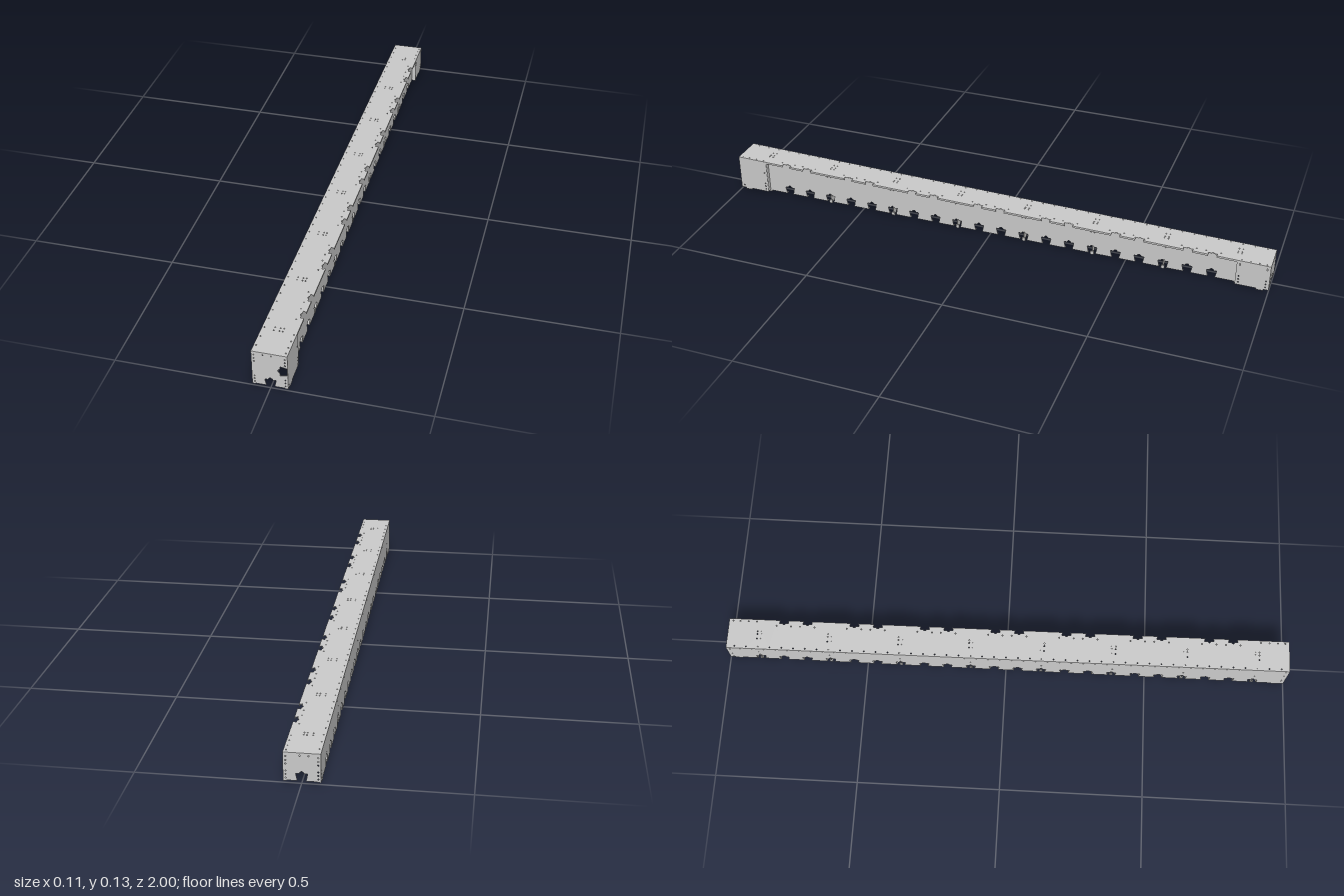
import * as THREE from 'three';

const T = 0.002;            // sheet thickness
const XL = -0.057;          // outer face of the plain wall
const XR = 0.055;           // outer face of the end boxes and roof edge
const XI = 0.04;            // outer face of the recessed wall
const Y0 = 0.008;           // lower edge of the walls
const BAY = 0.2532;         // bulkhead spacing
const PITCH = BAY / 3;      // notch spacing
const ZB = 3.5 * BAY;       // outermost bulkheads
const roofY = z => 0.1175 + 0.0175 * z;

const material = new THREE.MeshStandardMaterial({ color: 0xcccccc, side: THREE.DoubleSide, flatShading: true });

// Dovetail notch with a round relief, as points along an edge running in +u, cut towards +v
function notch(c, mouth, inner, depth, r) {
  const p = [[c - mouth, 0], [c - inner, depth], [c - r, depth]];
  for (let i = 1; i < 6; i++) {
    const a = Math.PI * (1 - i / 6);
    p.push([c + r * Math.cos(a), depth + r * Math.sin(a)]);
  }
  p.push([c + r, depth], [c + inner, depth], [c + mouth, 0]);
  return p;
}
const bigNotch = c => notch(c, 0.013, 0.018, 0.024, 0.007);
const smallNotch = c => notch(c, 0.014, 0.017, 0.011, 0.005);

// Flat plate with small round holes, placed by a basis
function plate(name, points, holes, xAxis, yAxis, origin, radius = 0.0022) {
  const shape = new THREE.Shape(points.map(p => new THREE.Vector2(p[0], p[1])));
  for (const [u, v] of holes) {
    const hole = new THREE.Path();
    hole.absarc(u, v, radius, 0, Math.PI * 2, true);
    shape.holes.push(hole);
  }
  const geometry = new THREE.ExtrudeGeometry(shape, { depth: T, bevelEnabled: false, curveSegments: 4 });
  const zAxis = xAxis.clone().cross(yAxis);
  geometry.applyMatrix4(new THREE.Matrix4().makeBasis(xAxis, yAxis, zAxis).setPosition(origin));
  const mesh = new THREE.Mesh(geometry, material);
  mesh.name = name;
  return mesh;
}

function box(name, x0, x1, y0, y1, z0, z1) {
  const mesh = new THREE.Mesh(new THREE.BoxGeometry(x1 - x0, y1 - y0, z1 - z0), material);
  mesh.position.set((x0 + x1) / 2, (y0 + y1) / 2, (z0 + z1) / 2);
  mesh.name = name;
  return mesh;
}

const V = (x, y, z) => new THREE.Vector3(x, y, z);
const UP = V(0, 1, 0), RIGHT = V(1, 0, 0), BACK = V(0, 0, -1);

// Solid stretches of an edge between notches
function gaps(from, to, centres, half) {
  const out = [];
  let start = from;
  for (const c of centres) {
    out.push([start, c - half]);
    start = c + half;
  }
  out.push([start, to]);
  return out;
}

export function createModel() {
  const model = new THREE.Group();
  model.name = 'boxBeam';

  const bulkheads = [], lower = [], upper = [];
  for (let i = 0; i < 8; i++) bulkheads.push((i - 3.5) * BAY);
  for (let i = -12; i < 12; i++) {
    const c = (i + 0.5) * PITCH;
    if (Math.abs(c) < 0.96) lower.push(c);
    const bayPos = (((i + 12) % 3) + 3) % 3;
    if (Math.abs(c) < 0.83 && !bulkheads.some(b => Math.abs(b - c) < 0.02)) upper.push(c);
  }

  // Long side walls; the plate's u axis runs towards -z
  function wall(name, x, z0, z1, holes) {
    const u0 = -z1, u1 = -z0;
    const pts = [[u0, Y0]];
    const cuts = lower.filter(c => c > u0 + 0.02 && c < u1 - 0.02);
    for (const c of cuts) for (const [u, v] of bigNotch(c)) pts.push([u, Y0 + v]);
    pts.push([u1, Y0], [u1, roofY(z0) - T], [u0, roofY(z1) - T]);
    model.add(plate(name, pts, holes, BACK, UP, V(x, 0, 0)));
    // Folded lower flange, turned inwards on each tooth
    const inward = x < 0 ? [x, x + 0.01] : [x + T - 0.01, x + T];
    for (const [a, b] of gaps(u0, u1, cuts, 0.013))
      model.add(box(name + 'Flange', inward[0], inward[1], Y0 - T, Y0, -b, -a));
  }
  const column = z => [0.016, 0.028, 0.04, 0.085, roofY(z) - 0.012].map(y => [-z, y]);
  const seam = (z0, z1) => {
    const row = [];
    for (let z = z0; z <= z1; z += PITCH / 2) row.push([-z, roofY(z) - 0.008]);
    return row;
  };
  const ribRivets = bulkheads.flatMap(z => [0.045, 0.07].map(y => [-z, y]));
  wall('leftPlainWall', XL, -1, 1, [...seam(-0.95, 0.95), ...ribRivets, ...column(0.988), ...column(-0.988)]);
  wall('recessedWall', XI - T, -ZB, ZB, bulkheads.slice(1, 7).flatMap(z => [-0.006, 0.006].map(d => [-z + d, roofY(z) - 0.018])));
  wall('frontBoxWall', XR - T, ZB, 1, [...column(0.988), ...column(ZB + 0.01)]);
  wall('rearBoxWall', XR - T, -1, -ZB, [...column(-0.988), ...column(-ZB - 0.01)]);

  // Sloping roof with notches along the overhanging edge
  const slope = Math.atan(0.0175), k = 1 / Math.cos(slope);
  const roof = [[XL, -k], [XR, -k]];
  for (const c of upper) for (const [u, v] of smallNotch(c)) roof.push([XR - v, u * k]);
  roof.push([XR, k], [XL, k]);
  const roofHoles = [];
  for (let i = -23; i <= 23; i++) roofHoles.push([XL + 0.008, i * PITCH / 2]);
  for (const z of bulkheads)
    for (const dx of [-0.018, 0, 0.01]) for (const dz of [-0.007, 0.007]) roofHoles.push([dx, z + dz]);
  for (const s of [-1, 1]) for (const z of [0.9, 0.93, 0.96, 0.985]) roofHoles.push([XR - 0.008, s * z]);
  for (const c of upper) for (const d of [-0.026, 0.026]) roofHoles.push([0.034, c + d]);
  const down = V(0, -Math.sin(slope), -Math.cos(slope));
  model.add(plate('roof', roof, roofHoles, RIGHT, down, V(0, roofY(0) - T, 0)));

  // Short lip folded down from the overhang
  for (const [a, b] of gaps(-ZB, ZB, upper, 0.015)) {
    const z = -(a + b) / 2, y = roofY(z);
    const lip = box('roofLip', XR - T, XR, y - 0.007, y - T / 2, -b, -a);
    lip.rotation.x = -slope;
    model.add(lip);
  }

  // End plates, with a bottom notch and a side notch at the front
  for (const end of [1, -1]) {
    const h = roofY(end) - T / 2;
    const pts = [[XL, Y0]];
    for (const [u, v] of bigNotch(0)) pts.push([u, Y0 + v]);
    pts.push([XR, Y0]);
    if (end > 0) for (const [u, v] of bigNotch(0.073)) pts.push([XR - v, u]);
    pts.push([XR, h], [XL, h]);
    const holes = [];
    for (const x of [-0.049, 0.047])
      for (const y of [0.016, 0.028, 0.039, h - 0.037, h - 0.025, h - 0.012]) holes.push([x, y]);
    for (const x of [-0.021, 0.005]) holes.push([x, h - 0.008]);
    model.add(plate(end > 0 ? 'frontPlate' : 'rearPlate', pts, holes, RIGHT, UP, V(0, 0, end > 0 ? 1 - T : -1)));
  }

  // Channel-shaped bulkheads with feet and side flanges
  bulkheads.forEach((z, i) => {
    const outer = i === 0 || i === 7;
    const right = (outer ? XR : XI) - T, left = XL + T, h = roofY(z) - T;
    const pts = [[left, Y0], [-0.038, Y0], [-0.038, 0], [-0.018, 0], [-0.016, Y0], [-0.004, Y0], [-0.004, 0.013],
      [0.004, 0.013], [0.004, Y0], [0.01, Y0], [0.012, 0], [0.024, 0], [0.024, Y0], [right, Y0], [right, h], [left, h]];
    model.add(plate('bulkhead', pts, [], RIGHT, UP, V(0, 0, z - T / 2)));
    const dir = z > 0 ? -1 : 1;
    const z0 = Math.min(z, z + dir * 0.016), z1 = Math.max(z, z + dir * 0.016);
    model.add(box('bulkheadFlange', left, left + T, 0.036, h - 0.008, z0, z1));
    model.add(box('bulkheadFlange', XI - 2 * T, XI - T, 0.036, h - 0.008, z0, z1));
    model.add(box('bulkheadTopFlange', -0.03, 0.02, h - 0.003, h - 0.001, z0, z1));
    // Small locating feet under the walls
    for (const x of [left, XI - 0.006])
      model.add(box('bulkheadFoot', x, x + 0.005, 0, Y0 + 0.004, z - 0.006, z + 0.006));
  });

  // Corner feet below the front and rear boxes
  for (const s of [-1, 1])
    for (const x of [XL, XR - 0.006])
      model.add(box('cornerFoot', x, x + 0.006, 0.001, Y0, s * 0.97 - 0.012, s * 0.97 + 0.012));

  return model;
}
